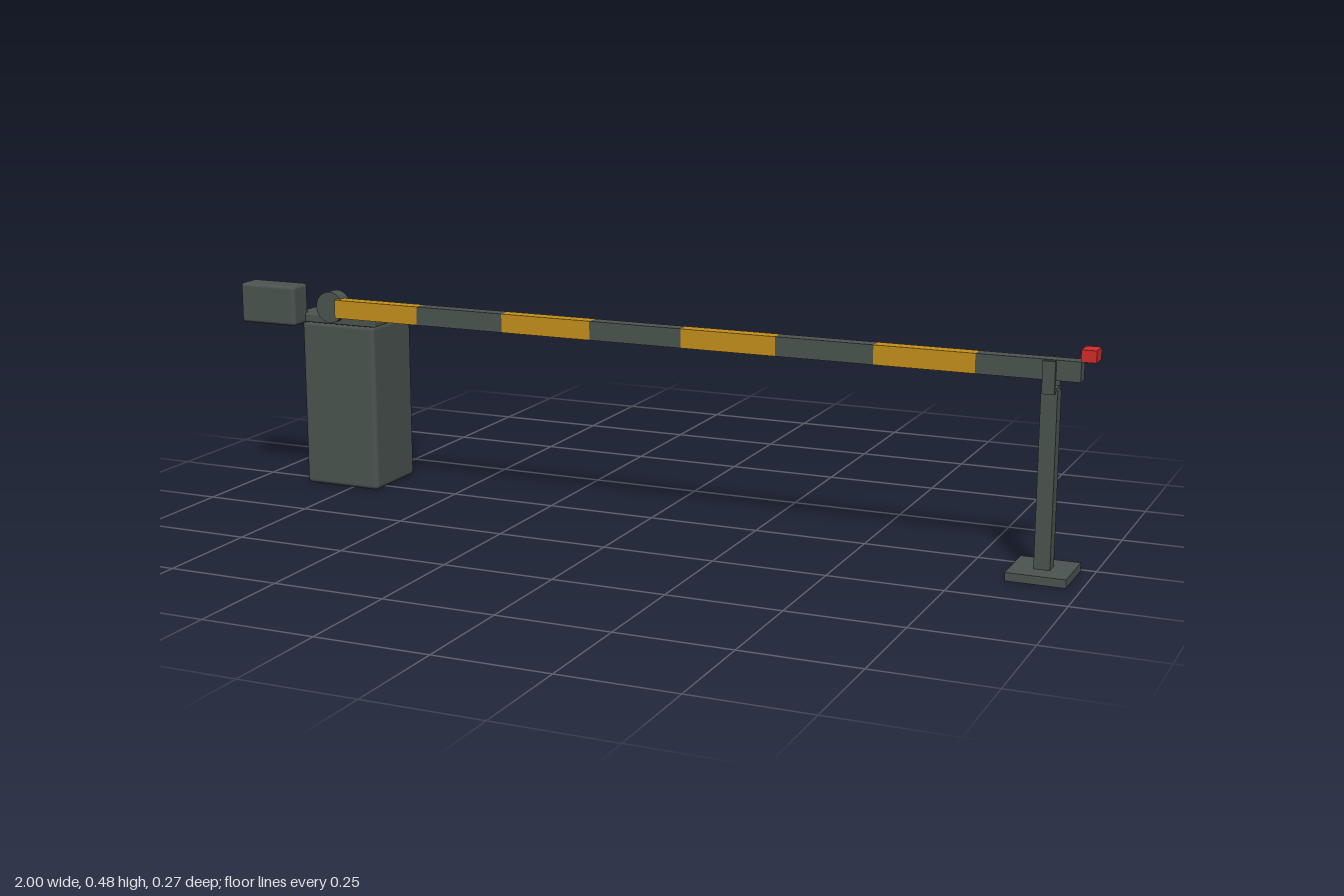
import * as THREE from 'three';
import { RoundedBoxGeometry } from 'three/addons/geometries/RoundedBoxGeometry.js';

export function createModel() {
  const model = new THREE.Group();
  model.name = 'barrierGate';

  const paint = (name, color) => {
    const m = new THREE.MeshStandardMaterial({ color });
    m.name = name;
    return m;
  };
  const grey = paint('darkGrey', 0x4b5450);
  const amber = paint('amber', 0xc4901c);
  const red = paint('signalRed', 0xd22b2b);

  // Box given by its limits on each axis, optionally with rounded edges
  const box = (name, mat, [x0, x1], [y0, y1], [z0, z1], radius = 0) => {
    const size = [x1 - x0, y1 - y0, z1 - z0];
    const geo = radius
      ? new RoundedBoxGeometry(...size, 3, radius)
      : new THREE.BoxGeometry(...size);
    const mesh = new THREE.Mesh(geo, mat);
    mesh.name = name;
    mesh.position.set((x0 + x1) / 2, (y0 + y1) / 2, (z0 + z1) / 2);
    model.add(mesh);
    return mesh;
  };

  // Motor cabinet and overhanging lid
  box('cabinet', grey, [-0.872, -0.68], [0, 0.39], [-0.125, 0.047], 0.01);
  box('cabinetLid', grey, [-0.882, -0.669], [0.39, 0.411], [-0.136, 0.057], 0.004);

  // Pivot hub and counterweight
  const hub = new THREE.Mesh(new THREE.CylinderGeometry(0.036, 0.036, 0.034, 24), grey);
  hub.name = 'pivotHub';
  hub.rotation.x = Math.PI / 2;
  hub.position.set(-0.777, 0.433, 0.058);
  model.add(hub);
  box('counterweight', grey, [-1, -0.855], [0.387, 0.48], [0.043, 0.103], 0.008);

  // Striped boom arm
  const start = -0.755, step = 0.2155;
  for (let i = 0; i < 8; i++) {
    const x = start + i * step;
    box('boomStripe' + (i + 1), i % 2 ? grey : amber, [x, x + step], [0.412, 0.454], [0.057, 0.089]);
  }
  box('tipLight', red, [0.969, 1], [0.455, 0.48], [0.051, 0.095]);

  // Rest post with foot plate and forked cradle
  box('postFoot', grey, [0.843, 0.969], [0, 0.018], [0.009, 0.138]);
  box('restPost', grey, [0.89, 0.924], [0.018, 0.39], [0.056, 0.09]);
  box('cradleBase', grey, [0.894, 0.92], [0.385, 0.395], [0.045, 0.101]);
  for (const side of [-1, 1]) {
    const z = 0.073 + side * 0.0235;
    box('cradleProng', grey, [0.894, 0.92], [0.385, 0.453], [z - 0.0045, z + 0.0045]);
  }
  return model;
}
